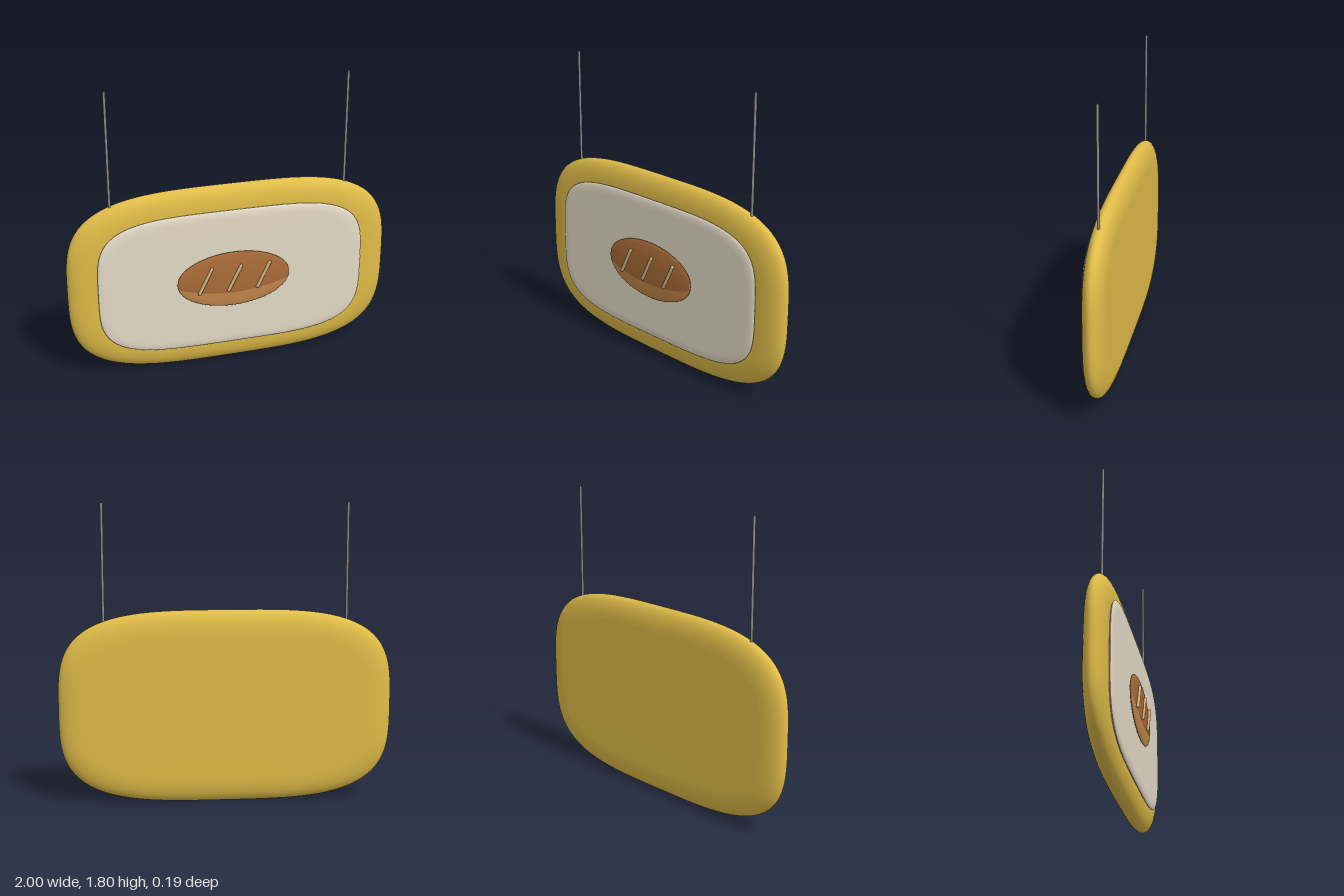
import * as THREE from 'three';

const MID_Y = 0.59;

function mesh(name, geometry, color, parent, side = THREE.FrontSide) {
  const m = new THREE.Mesh(geometry, new THREE.MeshStandardMaterial({ color, roughness: 0.7, side }));
  m.name = name;
  parent.add(m);
  return m;
}

// Closed slab with a superellipse outline (half sizes a, b) and a rounded rim
function pillow(a, b, half, inset, power, segs = 128, rings = 20) {
  const pos = [0, 0, -half], index = [];
  for (let j = 0; j <= rings; j++) {
    const phi = (j / rings - 0.5) * Math.PI;
    const d = inset * (1 - Math.pow(Math.max(0, Math.cos(phi)), 0.9));
    const z = half * Math.sin(phi);
    for (let i = 0; i < segs; i++) {
      const t = (i / segs) * Math.PI * 2, c = Math.cos(t), s = Math.sin(t);
      const r = Math.pow(Math.abs(c) ** power + Math.abs(s) ** power, -1 / power);
      pos.push((a - d) * r * c, (b - d) * r * s, z);
    }
  }
  const last = pos.length / 3;
  pos.push(0, 0, half);
  for (let i = 0; i < segs; i++) {
    const n = (i + 1) % segs;
    index.push(0, 1 + n, 1 + i);
    for (let j = 0; j < rings; j++) {
      const p = 1 + j * segs, q = p + segs;
      index.push(p + i, p + n, q + n, p + i, q + n, q + i);
    }
    const top = 1 + rings * segs;
    index.push(top + i, top + n, last);
  }
  const g = new THREE.BufferGeometry();
  g.setAttribute('position', new THREE.Float32BufferAttribute(pos, 3));
  g.setIndex(index);
  g.computeVertexNormals();
  return g;
}

// Skin over the upper part of the loaf, ending below in a shallow curve
function crustGeometry(rx, ry, rz, cols = 48, rows = 24) {
  const pos = [], index = [];
  for (let i = 0; i <= cols; i++) {
    const x = 0.345 * Math.sin((i / cols - 0.5) * Math.PI);
    const k = Math.sqrt(1 - (x / rx) ** 2);
    const low = -0.085 + 0.05 * (x / 0.33) ** 2;
    const start = Math.asin(Math.max(-1, low / (ry * k)));
    for (let j = 0; j <= rows; j++) {
      const t = start + (Math.PI - start) * (j / rows);
      pos.push(x, ry * k * Math.sin(t), rz * k * Math.cos(t));
      if (i < cols && j < rows) {
        const p = i * (rows + 1) + j, q = p + rows + 1;
        index.push(p, q, q + 1, p, q + 1, p + 1);
      }
    }
  }
  const g = new THREE.BufferGeometry();
  g.setAttribute('position', new THREE.Float32BufferAttribute(pos, 3));
  g.setIndex(index);
  g.computeVertexNormals();
  return g;
}

export function createModel() {
  const group = new THREE.Group();
  group.name = 'hangingSign';

  // Yellow board and the cream panel on its front
  mesh('board', pillow(1, 0.585, 0.063, 0.15, 3.5), 0xe0bc48, group).position.set(0, MID_Y, -0.033);
  mesh('panel', pillow(0.828, 0.447, 0.013, 0.06, 4), 0xe6dcc8, group).position.set(0, 0.588, 0.039);

  // Bread loaf with a darker crust
  const bread = new THREE.Group();
  bread.name = 'bread';
  bread.position.set(0, MID_Y, 0.064);
  group.add(bread);
  const loaf = new THREE.SphereGeometry(1, 64, 40).scale(0.352, 0.18, 0.018);
  mesh('loaf', loaf, 0xc68a4c, bread);
  mesh('crust', crustGeometry(0.354, 0.181, 0.02), 0xaa6c38, bread, THREE.DoubleSide);

  // Slanted scores across the crust
  for (const x of [-0.183, 0, 0.181]) {
    const score = mesh('score', new THREE.CapsuleGeometry(0.01, 0.172, 6, 14), 0xd8b483, bread);
    score.position.set(x, 0.014, 0.022);
    score.rotation.z = -0.46;
  }

  // Hanging rods
  for (const [name, x] of [['leftRod', 0.725], ['rightRod', -0.725]]) {
    mesh(name, new THREE.CylinderGeometry(0.008, 0.008, 0.71, 16), 0x8c8c8c, group).position.set(x, 1.452, -0.03);
  }
  return group;
}
